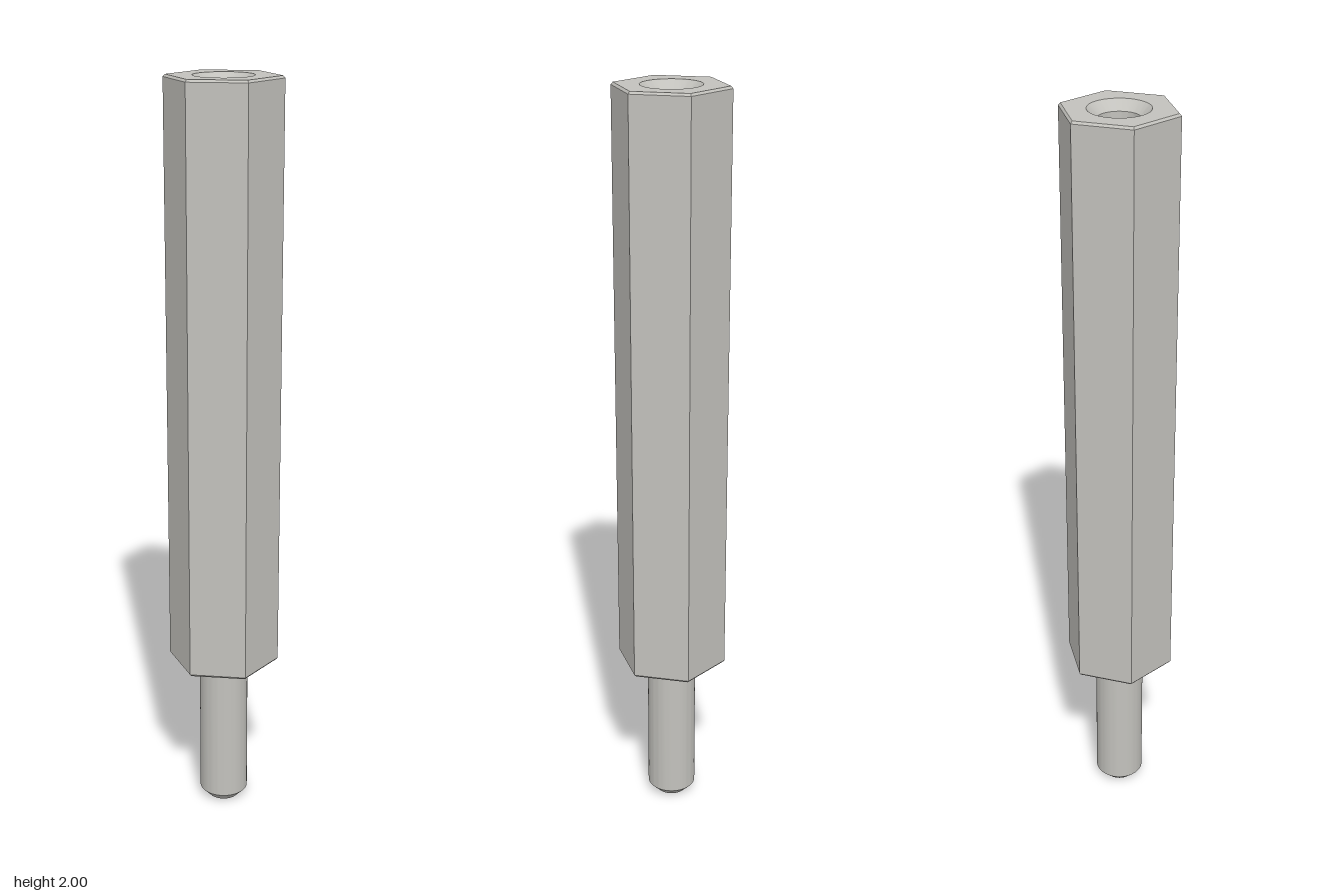
import * as THREE from 'three';
import { toCreasedNormals } from 'three/addons/utils/BufferGeometryUtils.js';

export function createModel() {
  const group = new THREE.Group();
  group.name = 'hexStandoff';
  const steel = new THREE.MeshStandardMaterial({ color: 0xc3c2bd });
  steel.name = 'satin steel';

  const add = (name, geometry) => {
    const mesh = new THREE.Mesh(geometry, steel);
    mesh.name = name;
    group.add(mesh);
  };
  // Revolve a [radius, height] profile; six sides give a hexagon with corners on the x axis
  const turn = (profile, sides) => toCreasedNormals(
    new THREE.LatheGeometry(profile.map(([r, y]) => new THREE.Vector2(r, y)), sides, Math.PI / 2), 0.4);

  const R = 0.15, rTop = 0.1445, base = 0.43, top = 2;
  const studR = 0.066, sinkR = 0.077, boreR = 0.053;

  // Hexagonal body with small chamfers at both ends
  add('hexBody', turn([[0, base], [rTop, base], [R, base + 0.006], [R, top - 0.006], [rTop, top]], 6));

  // Top face pierced by the threaded hole
  const face = new THREE.Shape(Array.from({ length: 6 }, (_, i) =>
    new THREE.Vector2(rTop * Math.cos(i * Math.PI / 3), rTop * Math.sin(i * Math.PI / 3))));
  face.holes.push(new THREE.Path().absarc(0, 0, sinkR, 0, Math.PI * 2, true));
  add('topFace', new THREE.ShapeGeometry(face, 32).rotateX(-Math.PI / 2).translate(0, top, 0));

  // Countersunk blind hole, profile runs downward so it faces inward
  add('blindHole', turn([[sinkR, top], [boreR, top - 0.024], [boreR, 1.57], [0, 1.57]], 64));

  // Stud with a chamfered tip
  add('stud', turn([[0, 0], [0.041, 0], [studR, 0.026], [studR, base]], 64));

  return group;
}
